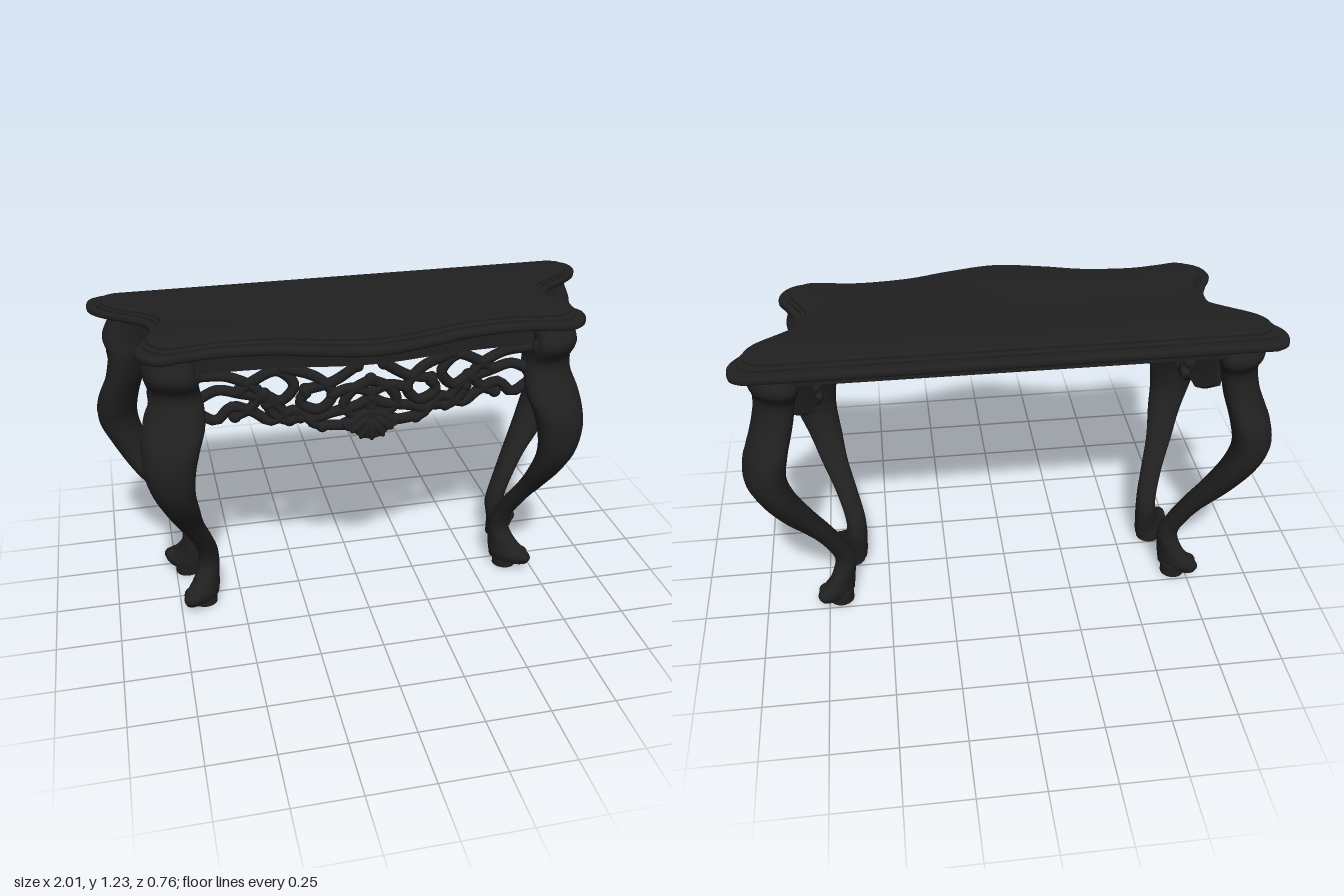
import * as THREE from 'three';
import { toCreasedNormals } from 'three/addons/utils/BufferGeometryUtils.js';
import { ParametricGeometry } from 'three/addons/geometries/ParametricGeometry.js';

const ebony = new THREE.MeshStandardMaterial({ color: 0x202020, side: THREE.DoubleSide });
ebony.name = 'ebony';

function add(parent, name, geometry) {
  const mesh = new THREE.Mesh(geometry, ebony);
  mesh.name = name;
  parent.add(mesh);
  return mesh;
}

const v2 = ([x, y]) => new THREE.Vector2(x, y);

// Move every vertex of a geometry by a rule
function warp(geo, rule) {
  const p = geo.attributes.position;
  const v = new THREE.Vector3();
  for (let i = 0; i < p.count; i++) {
    rule(v.fromBufferAttribute(p, i));
    p.setXYZ(i, v.x, v.y, v.z);
  }
  geo.computeVertexNormals();
  return geo;
}

// Half outline of the top (x, z), from front centre round to the back corner
const EDGE = [[0, .378], [.2, .338], [.36, .29], [.55, .272], [.68, .288], [.76, .30], [.82, .26],
  [.84, .19], [.81, .125], [.78, .05], [.778, -.02], [.805, -.09], [.87, -.147], [.955, -.215],
  [.995, -.28], [.987, -.35], [.94, -.38]];

function topSlab(yLow, yHigh, sx, sz, bevel) {
  const left = EDGE.slice(1).reverse().map(([x, z]) => [-x, z]);
  const pts = new THREE.SplineCurve([...left, ...EDGE].map(v2)).getPoints(160);
  const shape = new THREE.Shape(pts.map((p) => new THREE.Vector2(p.x * sx, p.y * sz)));
  const geo = new THREE.ExtrudeGeometry(shape, {
    depth: yHigh - yLow - 2 * bevel, bevelThickness: bevel, bevelSize: bevel,
    bevelOffset: -bevel, bevelSegments: 3,
  });
  geo.rotateX(Math.PI / 2).translate(0, yHigh - bevel, 0);
  return toCreasedNormals(geo, 0.6);
}

// Leg sections: y, then x and z limits
const FRONT_LEG = [
  [1.175, .635, .80, .13, .28], [1.10, .63, .82, .125, .305], [1.03, .62, .805, .12, .265],
  [.97, .61, .81, .12, .275], [.90, .615, .835, .135, .31], [.83, .64, .847, .165, .34],
  [.75, .66, .848, .19, .346], [.65, .668, .825, .20, .33], [.55, .655, .785, .175, .28],
  [.45, .64, .745, .125, .205], [.35, .612, .70, .06, .14], [.25, .586, .668, 0, .085],
  [.18, .58, .665, -.02, .07], [.12, .582, .69, -.015, .10], [.07, .585, .735, -.005, .148],
  [.035, .59, .73, 0, .138]];
const BACK_LEG = [
  [1.175, .78, .92, -.31, -.16], [1.10, .76, .95, -.346, -.15], [1.03, .78, .935, -.31, -.14],
  [.93, .80, .95, -.325, -.15], [.82, .83, .99, -.37, -.175], [.72, .845, 1.0, -.38, -.20],
  [.62, .82, .96, -.365, -.205], [.50, .765, .89, -.315, -.19], [.40, .715, .81, -.27, -.165],
  [.30, .668, .75, -.23, -.14], [.20, .63, .712, -.205, -.125], [.12, .635, .735, -.23, -.12],
  [.07, .64, .788, -.264, -.125], [.035, .645, .78, -.258, -.13]];

// Section skew: drawn out towards the toe at the foot, round ankle, broad knee
const { smoothstep } = THREE.MathUtils;
const skewAt = (y) => .58 * (1 - smoothstep(y, .07, .19)) - .4 * smoothstep(y, .19, 1.1);

function makeLeg(name, rows, s, zSide) {
  const leg = new THREE.Group();
  leg.name = name;
  const spline = new THREE.CubicInterpolant(rows.map((_, i) => i), rows.flat(), 5, new Array(5));
  // Point at t down the leg, at an angle measured from its outer corner
  const surface = (t, angle, k, target) => {
    const [y, x0, x1, z0, z1] = spline.evaluate(Math.min(t, .9999) * (rows.length - 1));
    const skew = skewAt(y);
    const a = angle + Math.atan2(zSide * Math.cos(skew), s * (1 + Math.sin(skew)));
    const r = k * (1 + .06 * Math.pow(Math.max(0, Math.cos(angle)), 8));
    target.set(s * (x0 + x1) / 2 + (x1 - x0) / 2 * r * Math.cos(a), y,
      (z0 + z1) / 2 + (z1 - z0) / 2 * r * Math.sin(a + s * zSide * skew));
  };
  // Curved body, closed under the foot by the last ring
  const steps = 60;
  add(leg, 'cabrioleLeg', new ParametricGeometry((u, v, p) =>
    surface(Math.min(1, v * steps / (steps - 1)), u * Math.PI * 2, v > .999 ? 0 : 1, p), 28, steps));
  // Jagged leaf laid over the knee, its steep edges sunk into the leg
  add(leg, 'kneeLeaf', new ParametricGeometry((u, v, p) => {
    const width = (.75 + .5 * Math.abs(((v * 5) % 1) * 2 - 1)) * (1 - .5 * v);
    const rim = Math.min(u, 1 - u, v, 1 - v) < .01;
    const across = Math.sign(u - .5) * Math.pow(Math.abs(2 * u - 1), .4);
    surface(.13 + .5 * v, width * across, rim ? .97 : 1.04, p);
  }, 16, 60));
  // Toes
  for (const [x, z] of zSide > 0 ? [[.704, .095], [.684, .114]] : [[.757, -.213], [.736, -.233]]) {
    add(leg, 'toe', new THREE.SphereGeometry(.032, 14, 10)).position.set(s * x, .066, z);
  }
  // Block under the foot
  const block = add(leg, 'footBlock', new THREE.CylinderGeometry(.05, .05, .05, 24));
  block.position.set(s * (zSide > 0 ? .65 : .70), .025, zSide > 0 ? .05 : -.19);
  return leg;
}

// Front apron follows the serpentine edge of the top
const apronZ = (x) => .20 + .05 * Math.exp(-((x / .27) ** 2));

// Scrolls of the front apron (x, y), right half
const SCROLLS = [
  [[.64, .94], [.57, .90], [.51, .95], [.43, .92], [.37, .88], [.28, .92], [.2, .86], [.08, .85]],
  [[.63, 1.08], [.52, 1.07], [.41, 1.0], [.44, .94], [.50, .91]],
  [[.48, 1.01], [.42, 1.05], [.34, 1.08], [.28, 1.02], [.33, .96], [.39, .99]],
  [[.32, 1.09], [.2, 1.05], [.14, .98], [.19, .92], [.26, .95], [.24, .99]],
  [[.24, 1.0], [.14, 1.03], [.05, 1.09]],
  [[0, 1.03], [.07, .99], [.1, .93], [.04, .87]],
  [[.63, .99], [.56, 1.02], [.48, 1.0], [.36, .96], [.3, .88]],
  [[0, .96], [.05, .93], [.16, .90], [.22, .87], [.18, .85]],
  [[.14, .98], [.07, 1.0], [0, .97], [0, .88]],
  [[.38, .95], [.36, .91], [.31, .88], [.26, .89]]];

function makeFrontApron() {
  const apron = new THREE.Group();
  apron.name = 'frontApron';
  const rail = new THREE.BoxGeometry(1.32, .075, .05, 48, 1, 1).translate(0, 1.1375, 0);
  add(apron, 'frontRail', toCreasedNormals(warp(rail, (v) => { v.z += apronZ(v.x); }), .6));
  for (const s of [1, -1]) {
    for (const pts of SCROLLS) {
      const path = new THREE.CatmullRomCurve3(
        pts.map(([x, y]) => new THREE.Vector3(s * x, y, apronZ(x))));
      add(apron, 'scroll', new THREE.TubeGeometry(path, 28, .021, 8));
      for (const [x, y] of [pts[0], pts[pts.length - 1]]) {
        add(apron, 'scrollEnd', new THREE.SphereGeometry(.025, 10, 8)).position.set(s * x, y, apronZ(x));
      }
    }
  }
  // Ribbed shell pendant in the middle
  const half = [[.04, .80], [.07, .825], [.10, .84], [.115, .87], [.08, .885], [.04, .91]];
  const outline = [[0, .79], ...half, [0, .92], ...half.map(([x, y]) => [-x, y]).reverse()];
  const shell = new THREE.ExtrudeGeometry(new THREE.Shape(outline.map(v2)), {
    depth: .02, bevelThickness: .015, bevelSize: .012, bevelOffset: -.012, bevelSegments: 2 });
  add(apron, 'shell', shell.translate(0, 0, apronZ(0) - .01));
  for (const a of [-.9, -.45, 0, .45, .9]) {
    const rib = add(apron, 'shellRib', new THREE.SphereGeometry(1, 10, 8));
    rib.scale.set(.016, .045, .012);
    rib.position.set(.06 * Math.sin(a), .895 - .06 * Math.cos(a), apronZ(0) + .025);
    rib.rotation.z = a;
  }
  return apron;
}

// Pierced side panel, curved along the waist of the top
function makeSidePanel(s) {
  const half = [[.04, .87], [.07, .90], [.10, .875], [.13, .885], [.17, .92], [.175, 1.04],
    [.175, 1.175], [.12, 1.175], [.06, 1.175]];
  const shape = new THREE.Shape([[0, .86], ...half, [0, 1.175],
    ...half.map(([x, y]) => [-x, y]).reverse()].map(v2));
  const hole = (pts) => shape.holes.push(new THREE.Path(pts.map(v2)));
  const heart = [[.025, 1.065], [.035, 1.105], [.065, 1.11], [.085, 1.08], [.08, 1.04], [.05, 1.03], [.02, 1.01]];
  hole([[0, 1.06], ...heart, ...heart.map(([x, y]) => [-x, y]).reverse()]);
  for (const m of [1, -1]) {
    hole([[.03, .985], [.065, 1.0], [.085, 1.015], [.085, .965], [.05, .955]].map(([x, y]) => [m * x, y]));
    hole([[.015, .945], [.04, .925], [.075, .935], [.06, .91], [.03, .895], [.012, .915]].map(([x, y]) => [m * x, y]));
  }
  const geo = new THREE.ExtrudeGeometry(shape, {
    depth: .02, bevelThickness: .008, bevelSize: .006, bevelOffset: -.006, bevelSegments: 1 });
  warp(geo, (v) => {
    const z = -.015 - s * v.x;
    v.set(s * (.715 + 2.5 * z * z + v.z - .01), v.y, z);
  });
  return toCreasedNormals(geo, .5);
}

export function createModel() {
  const table = new THREE.Group();
  table.name = 'consoleTable';

  // Stepped top
  add(table, 'topLowerMoulding', topSlab(1.172, 1.203, 1, 1, .01));
  add(table, 'topStep', topSlab(1.198, 1.215, .962, .9, .004));
  add(table, 'topBoard', topSlab(1.208, 1.23, .945, .855, .007));

  // Front, side and back aprons
  table.add(makeFrontApron());
  for (const s of [1, -1]) add(table, s > 0 ? 'leftSidePanel' : 'rightSidePanel', makeSidePanel(s));
  add(table, 'backRail', new THREE.BoxGeometry(1.66, .06, .03)).position.set(0, 1.145, -.29);

  // Legs, with a small volute beside each front knob
  for (const s of [1, -1]) {
    const side = s > 0 ? 'left' : 'right';
    table.add(makeLeg(side + 'FrontLeg', FRONT_LEG, s, 1));
    table.add(makeLeg(side + 'BackLeg', BACK_LEG, s, -1));
    const volute = add(table, side + 'Volute', new THREE.TorusGeometry(.028, .014, 8, 20));
    volute.position.set(s * .66, 1.1, .255);
  }
  return table;
}
